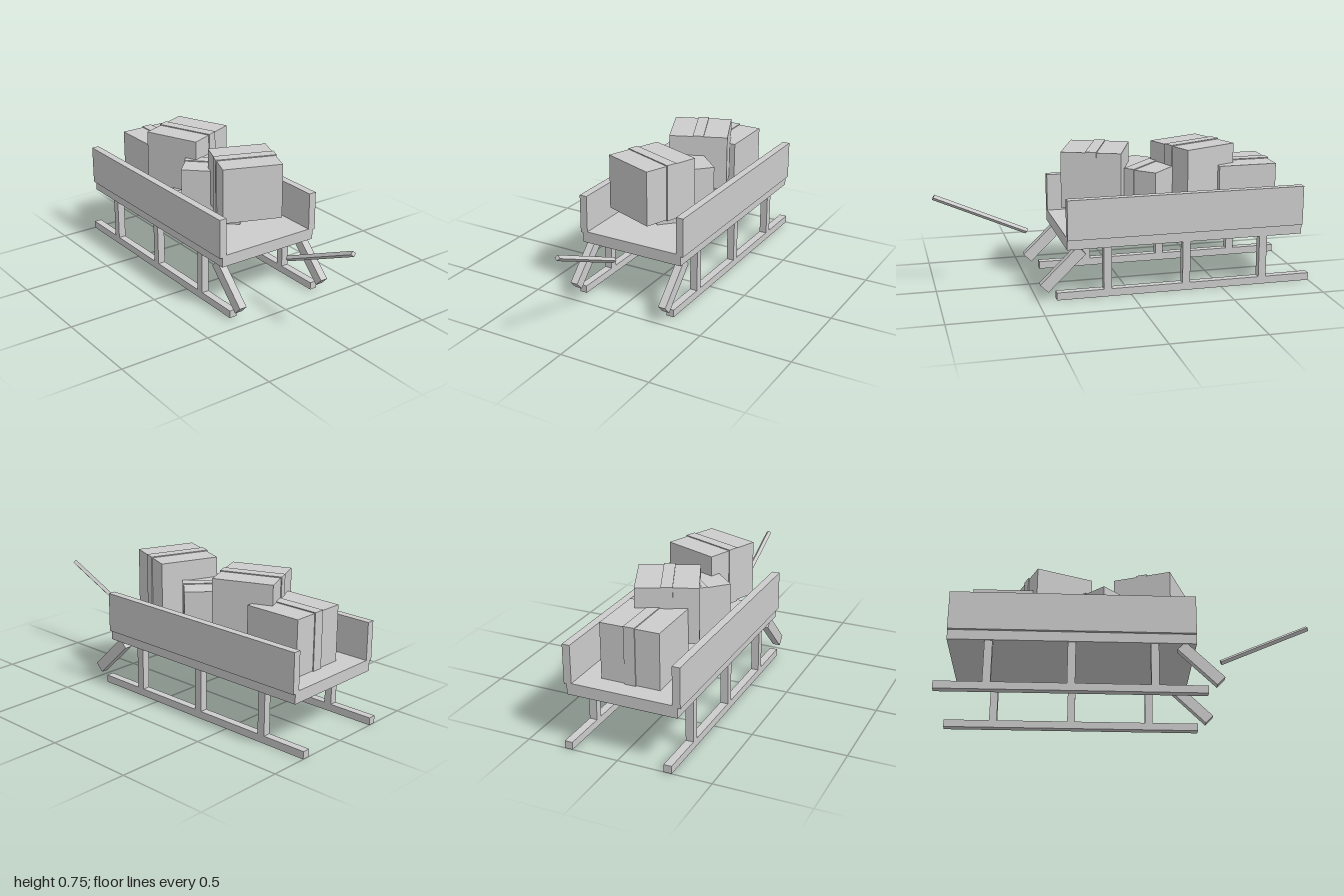
import * as THREE from 'three';

export function createModel() {
  const group = new THREE.Group();
  group.name = 'cargoSled';
  const grey = new THREE.MeshStandardMaterial({ color: 0xcccccc });
  grey.name = 'plainGrey';

  function box(name, size, pos, parent = group) {
    const mesh = new THREE.Mesh(new THREE.BoxGeometry(...size), grey);
    mesh.name = name;
    mesh.position.set(...pos);
    parent.add(mesh);
    return mesh;
  }

  // Flat cargo deck
  box('deck', [1.29, 0.063, 0.596], [-0.3, 0.303, 0]);

  // Each side: runner, three struts, slanted front brace and side board
  for (const [side, s] of [['left', -1], ['right', 1]]) {
    box(side + 'Runner', [1.4, 0.041, 0.042], [-0.3, 0.0205, s * 0.27]);
    for (const x of [-0.731, -0.302, 0.128]) {
      box(side + 'Strut', [0.042, 0.24, 0.042], [x, 0.155, s * 0.27]);
    }
    const brace = box(side + 'FrontBrace', [0.28, 0.06, 0.042], [0.366, 0.166, s * 0.27]);
    brace.rotation.z = -0.77;
    box(side + 'SideBoard', [1.29, 0.214, 0.042], [-0.3, 0.432, s * 0.292]);
  }

  // Four-sided pulling pole, set on its corner
  const start = new THREE.Vector3(0.507, 0.302, 0);
  const end = new THREE.Vector3(0.994, 0.519, 0);
  const dir = end.clone().sub(start);
  const poleGeo = new THREE.CylinderGeometry(0.015, 0.015, dir.length(), 4).toNonIndexed();
  poleGeo.computeVertexNormals();
  const pole = new THREE.Mesh(poleGeo, grey);
  pole.name = 'pullPole';
  pole.position.copy(start).add(end).multiplyScalar(0.5);
  pole.rotation.z = -Math.atan2(dir.x, dir.y);
  group.add(pole);

  // Cube parcels, each turned further than the last, with a raised strap
  for (let i = 0; i < 4; i++) {
    const parcel = new THREE.Group();
    parcel.name = 'parcel' + (i + 1);
    parcel.position.set(-0.679 + i * 0.269, i % 2 ? 0.595 : 0.487, -0.003);
    parcel.rotation.y = i * 0.4;
    box('parcelBox', [0.32, 0.3, 0.32], [0, 0, 0], parcel);
    box('parcelStrap', [0.33, 0.31, 0.06], [0, 0, 0], parcel);
    group.add(parcel);
  }

  return group;
}
